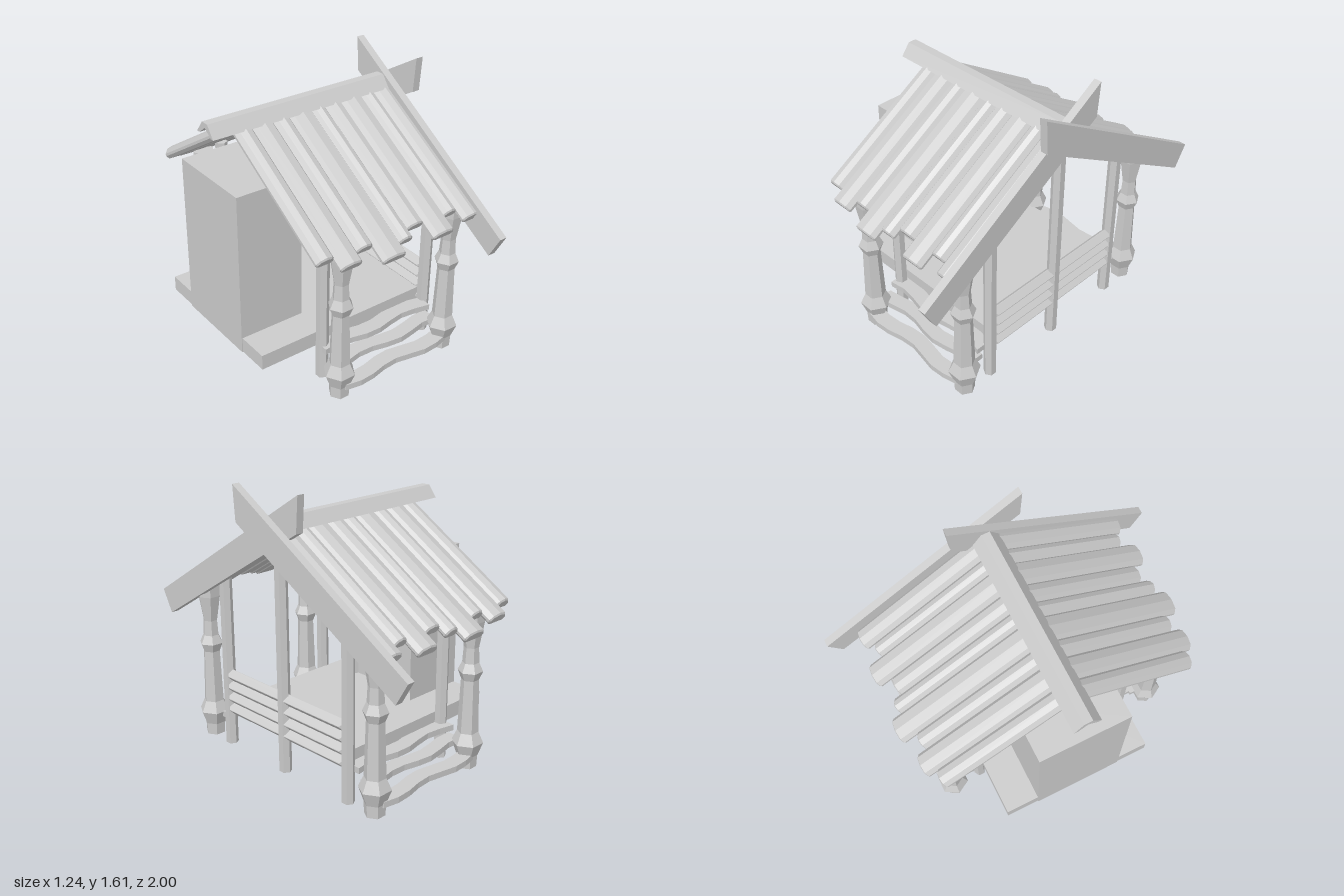
import * as THREE from 'three';

const mat = new THREE.MeshStandardMaterial({ color: 0xcccccc, flatShading: true });
const shapeOf = pts => new THREE.Shape(pts.map(([x, y]) => new THREE.Vector2(x, y)));

export function createModel() {
  const root = new THREE.Group();

  const add = (name, geo, x = 0, y = 0, z = 0, parent = root) => {
    const m = new THREE.Mesh(geo, mat);
    m.name = name;
    m.position.set(x, y, z);
    parent.add(m);
    return m;
  };
  const extrude = (pts, depth, bevel = 0) => new THREE.ExtrudeGeometry(shapeOf(pts), {
    depth: depth - 2 * bevel, bevelEnabled: bevel > 0, bevelSize: bevel,
    bevelThickness: bevel, bevelOffset: -bevel, bevelSegments: 1,
  }).translate(0, 0, bevel);
  // profile given as [z, y], extruded along +x
  const alongX = (pts, depth, bevel) => extrude(pts.map(([z, y]) => [-z, y]), depth, bevel).rotateY(Math.PI / 2);
  // outline given as [x, z], extruded along +y
  const alongY = (pts, depth) => extrude(pts.map(([x, z]) => [x, -z]), depth).rotateX(-Math.PI / 2);
  const box = (name, x0, x1, y0, y1, z0, z1) =>
    add(name, new THREE.BoxGeometry(x1 - x0, y1 - y0, z1 - z0), (x0 + x1) / 2, (y0 + y1) / 2, (z0 + z1) / 2);

  // Floor
  box('floor', -0.615, 0.5, 0.19, 0.28, -0.47, 0.46);

  // Tall cabinet at the rear end, with a splayed niche facing the gable
  box('cabinet', -0.62, -0.3, 0.188, 1.15, -0.27, 0.27);
  add('cabinetLintel', extrude([[-0.3, 1.15], [-0.3, 1.02], [-0.22, 1.06], [-0.22, 1.15]], 0.54), 0, 0, -0.27);
  for (const s of [1, -1])
    add('cabinetJamb', alongY([[-0.3, 0.27 * s], [-0.22, 0.27 * s], [-0.3, 0.23 * s]], 0.96), 0, 0.19, 0);

  // Turned six-sided porch posts
  const profile = [[0, 0], [0.057, 0], [0.06, 0.07], [0.09, 0.15], [0.06, 0.215], [0.05, 0.53], [0.07, 0.58],
    [0.047, 0.63], [0.042, 0.72], [0.067, 0.87], [0.067, 0.94], [0, 0.94]].map(p => new THREE.Vector2(...p));
  const turned = new THREE.LatheGeometry(profile, 6).rotateY(Math.PI / 6);
  for (const x of [-0.26, 0.485]) for (const z of [-0.67, 0.67]) add('turnedPost', turned, x, 0, z);

  // Slim six-sided posts
  const slimPost = (name, h, x, z) => add(name, new THREE.CylinderGeometry(0.036, 0.036, h, 6), x, h / 2, z);
  for (const z of [-0.49, 0.49]) for (const x of [-0.24, 0.498]) slimPost('sidePost', 1.06, x, z);
  slimPost('gablePost', 1.36, 0.507, 0);

  // Hip-bevelled rails across the gable end
  for (let i = 0; i < 4; i++) {
    const y = 0.19 + i * 0.07;
    add('gableRail', alongX([[0.49, y], [-0.49, y], [-0.49, y + 0.07], [0.49, y + 0.07]], 0.07, 0.033), 0.464, 0, 0);
  }

  // Wavy steps on both long sides
  const step = (z0, z1, phase) => {
    const edge = z => Array.from({ length: 9 }, (_, i) =>
      [-0.26 + i * 0.0925, z + 0.018 * Math.sin(i * 1.25 + phase)]);
    return alongY([...edge(z0), ...edge(z1).reverse()], 0.035);
  };
  for (const side of [0, 1]) {
    const steps = new THREE.Group();
    steps.name = 'steps';
    steps.rotation.y = side * Math.PI;
    if (side) steps.position.x = 0.22;
    [[0.64, 0.73, 0.055], [0.545, 0.63, 0.12], [0.465, 0.555, 0.18]].forEach(([a, b, y], i) =>
      add('wavyStep', step(a, b, i * 1.7), 0, y, 0, steps));
    root.add(steps);
  }

  // Crowned roof planks: [left x, right x, horizontal reach]
  const planks = [[-0.475, -0.365, 0.765], [-0.37, -0.235, 0.825], [-0.235, -0.13, 0.775], [-0.135, 0.015, 0.865],
    [0.01, 0.105, 0.81], [0.1, 0.215, 0.765], [0.215, 0.355, 0.85], [0.35, 0.445, 0.77], [0.445, 0.57, 0.825]];
  const slope = Math.atan(0.61);
  for (const side of [0, 1]) {
    const roof = new THREE.Group();
    roof.name = side ? 'backRoof' : 'frontRoof';
    roof.rotation.y = side * Math.PI;
    for (const [l, r, reach] of planks) {
      const [a, b] = side ? [-r, -l] : [l, r];
      const section = [[a + 0.015, -0.068], [b - 0.015, -0.068], [b, -0.05], [b, -0.035], [b - 0.02, -0.01],
        [(a + b) / 2, 0], [a + 0.02, -0.01], [a, -0.035], [a, -0.05]];
      const m = add('roofPlank', extrude(section, reach / Math.cos(slope), 0.008), 0, 1.438, 0, roof);
      m.rotation.x = slope;
    }
    root.add(roof);
  }

  // Ridge cap with a flat top and a notched underside
  add('ridgeCap', alongX([[0.02, 1.457], [0.073, 1.388], [0.05, 1.388], [-0.005, 1.43], [-0.06, 1.388],
    [-0.083, 1.388], [-0.03, 1.457]], 1.15), -0.62, 0, 0);

  // Crossed boards on the gable
  add('frontGableBoard', alongX([[-0.215, 1.61], [-0.2, 1.41], [0.93, 0.72], [1, 0.85]], 0.045), 0.528, 0, 0);
  add('backGableBoard', alongX([[0.235, 1.605], [0.22, 1.405], [-0.925, 0.74], [-1, 0.87]], 0.045), 0.575, 0, 0);

  return root;
}
